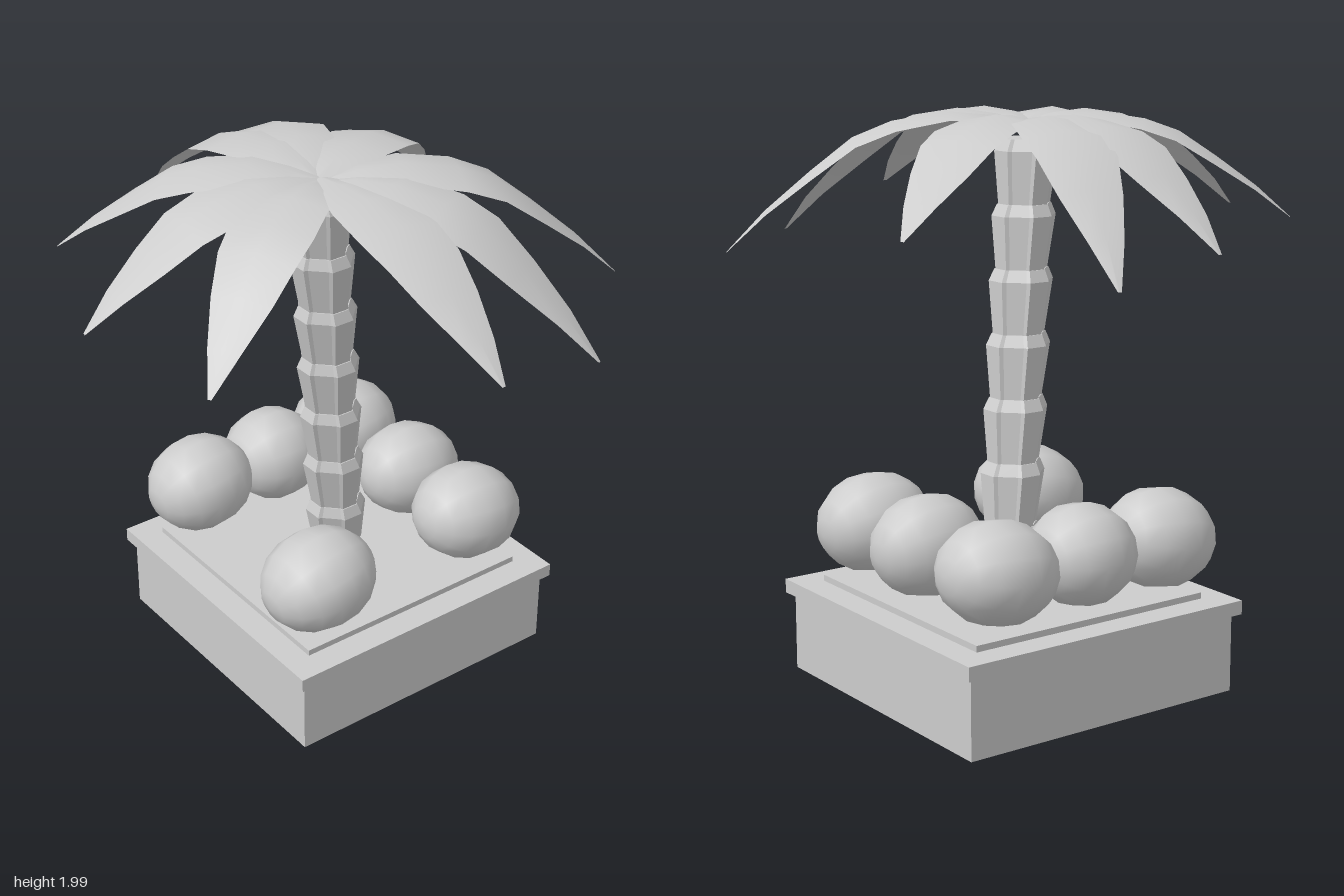
import * as THREE from 'three';

const grey = new THREE.MeshStandardMaterial({ color: 0xcccccc });
grey.name = 'stone grey';
grey.side = THREE.DoubleSide;
const greyFlat = grey.clone();
greyFlat.flatShading = true;

function add(group, name, geometry, material = grey) {
  const mesh = new THREE.Mesh(geometry, material);
  mesh.name = name;
  group.add(mesh);
  return mesh;
}

// One trunk ring: eight planks, alternately proud and recessed, flaring to a bevelled top
function trunkRing(bottom, top) {
  const geo = new THREE.CylinderGeometry(1, 1, 1, 16, 2);
  const pos = geo.attributes.position;
  for (let i = 0; i < pos.count; i++) {
    const x = pos.getX(i), y = pos.getY(i), z = pos.getZ(i);
    const t = y < -0.1 ? 0 : y < 0.1 ? 0.82 : 1;
    const radius = t === 0 ? 0.092 : t === 1 ? 0.096 : 0.114;
    const k = (Math.round(Math.atan2(x, z) / (Math.PI / 8)) + 16) % 16;
    const plank = Math.floor(k / 2);
    const angle = plank * Math.PI / 4 + (k % 2 ? 0.34 : -0.34);
    const r = Math.hypot(x, z) < 0.5 ? 0 : radius * (plank % 2 ? 0.93 : 1.02);
    pos.setXYZ(i,
      THREE.MathUtils.lerp(bottom.x, top.x, t) + r * Math.sin(angle),
      THREE.MathUtils.lerp(bottom.y, top.y, t),
      THREE.MathUtils.lerp(bottom.z, top.z, t) + r * Math.cos(angle));
  }
  geo.computeVertexNormals();
  return geo;
}

// Leaf rows: [fraction of length, half width, fraction of fall]
const LEAF_ROWS = [
  [0, 0.02, 0.09], [0.12, 0.085, 0.03], [0.27, 0.13, 0], [0.45, 0.145, 0.065],
  [0.58, 0.135, 0.18], [0.72, 0.105, 0.42], [0.87, 0.058, 0.7], [1, 0.006, 1],
];

// Arched leaf with a raised midrib, running from the crown to its tip
function leafGeometry(tx, ty, tz) {
  const cx = -0.03, cz = -0.01, peak = 1.99;
  const dx = tx - cx, dz = tz - cz, len = Math.hypot(dx, dz);
  const verts = [], index = [];
  LEAF_ROWS.forEach(([t, w, fall], row) => {
    for (const s of [-1, 0, 1]) {
      verts.push(
        cx + dx * t + s * w * dz / len,
        peak - (peak - ty) * fall - Math.abs(s) * w * 0.18,
        cz + dz * t - s * w * dx / len);
    }
    if (row === 0) return;
    for (let c = 0; c < 2; c++) {
      const a = (row - 1) * 3 + c, b = a + 3;
      index.push(a, b, a + 1, a + 1, b, b + 1);
    }
  });
  // Wind the faces so that they look upwards
  for (let i = 0; i < index.length; i += 3) {
    const [a, b, c] = [index[i], index[i + 1], index[i + 2]].map((v) => v * 3);
    const up = (verts[b + 2] - verts[a + 2]) * (verts[c] - verts[a])
      - (verts[b] - verts[a]) * (verts[c + 2] - verts[a + 2]);
    if (up < 0) [index[i + 1], index[i + 2]] = [index[i + 2], index[i + 1]];
  }
  const geo = new THREE.BufferGeometry();
  geo.setAttribute('position', new THREE.Float32BufferAttribute(verts, 3));
  geo.setIndex(index);
  geo.computeVertexNormals();
  return geo;
}

export function createModel() {
  const model = new THREE.Group();
  model.name = 'palmOnPlinth';

  // Square plinth: body, rim and ground slab
  for (const [name, size, y0, y1] of [
    ['plinthBody', 1.1, 0, 0.28], ['plinthRim', 1.15, 0.28, 0.33], ['groundSlab', 0.95, 0.33, 0.352],
  ]) {
    add(model, name, new THREE.BoxGeometry(size, y1 - y0, size), greyFlat)
      .position.set(0.137, (y0 + y1) / 2, -0.142);
  }

  // Leaning trunk of seven stacked rings
  const trunk = new THREE.Group();
  trunk.name = 'trunk';
  model.add(trunk);
  const at = (i) => new THREE.Vector3(0.152 - 0.025 * i, 0.35 + 0.221 * i, -0.15 + 0.018 * i);
  for (let i = 0; i < 7; i++) {
    add(trunk, 'trunkRing', trunkRing(at(i), at(i + 1)), greyFlat);
  }

  // Crown of nine leaves, given by their tips
  const crown = new THREE.Group();
  crown.name = 'crown';
  model.add(crown);
  for (const tip of [
    [-0.05, 1.6, -1], [0.35, 1.52, -1], [0.75, 1.64, -0.42],
    [0.9, 1.52, 0.455], [0.42, 1.52, 0.89], [-0.09, 1.66, 1],
    [-0.77, 1.58, 0.42], [-0.9, 1.62, -0.1], [-0.67, 1.64, -0.66],
  ]) {
    add(crown, 'leaf', leafGeometry(...tip));
  }

  // Coconuts: [x, z, half length, half depth, tilt]
  const nuts = new THREE.Group();
  nuts.name = 'coconuts';
  model.add(nuts);
  for (const [x, z, rx, rz, tilt] of [
    [-0.22, 0.23, 0.215, 0.195, 0.2], [0.475, 0.21, 0.21, 0.19, -0.1],
    [0.485, -0.145, 0.205, 0.18, -0.1], [0.48, -0.545, 0.21, 0.2, 0.1],
    [0.13, -0.54, 0.19, 0.19, 0], [-0.21, -0.535, 0.205, 0.19, 0.15],
  ]) {
    const nut = add(nuts, 'coconut', new THREE.SphereGeometry(1, 12, 9).rotateZ(Math.PI / 2));
    nut.scale.set(rx, 0.177, rz);
    nut.rotation.z = tilt;
    nut.position.set(x, 0.555, z);
  }
  return model;
}
